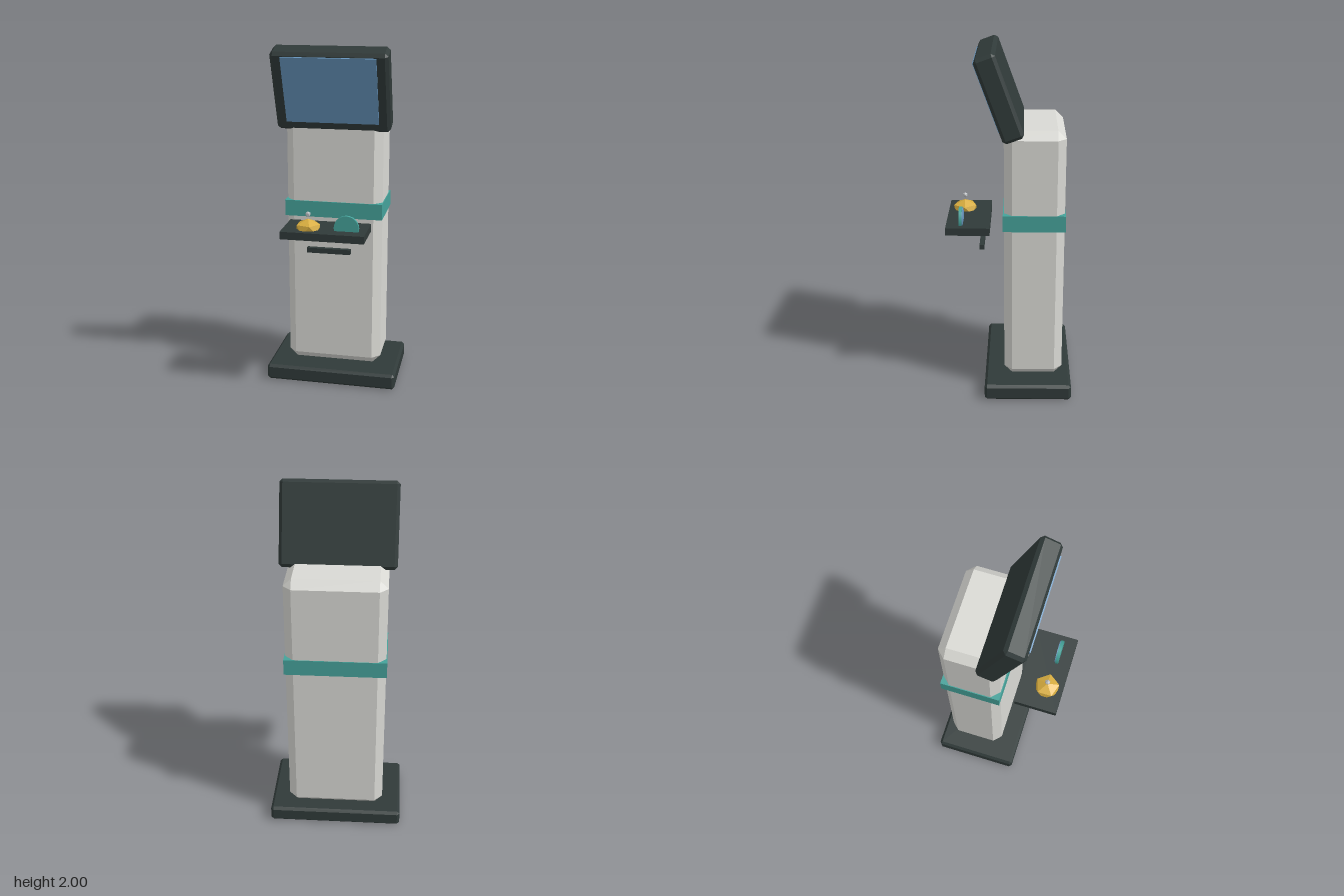
import * as THREE from 'three';
import { ConvexGeometry } from 'three/addons/geometries/ConvexGeometry.js';

const mat = (name, color) => {
  const m = new THREE.MeshStandardMaterial({ color });
  m.name = name;
  return m;
};

// Box with every edge cut by a single flat chamfer
function chamferBox(w, h, d, c) {
  const pts = [];
  for (const x of [-1, 1]) for (const y of [-1, 1]) for (const z of [-1, 1])
    for (let a = 0; a < 3; a++)
      pts.push(new THREE.Vector3(
        x * (w / 2 - (a === 0 ? 0 : c)),
        y * (h / 2 - (a === 1 ? 0 : c)),
        z * (d / 2 - (a === 2 ? 0 : c))));
  return new ConvexGeometry(pts);
}

// Twenty-sided gem standing on a point: two twisted rings of five and two tips
function gem(ring, halfHeight) {
  const pts = [new THREE.Vector3(0, halfHeight, 0), new THREE.Vector3(0, -halfHeight, 0)];
  for (let i = 0; i < 10; i++) {
    const a = i * Math.PI / 5;
    const y = halfHeight * 0.447 * (i % 2 ? -1 : 1);
    pts.push(new THREE.Vector3(Math.cos(a) * ring, y, Math.sin(a) * ring));
  }
  return new ConvexGeometry(pts);
}

export function createModel() {
  const dark = mat('charcoal', 0x303a39);
  const grey = mat('light grey', 0xd9d9d4);
  const teal = mat('teal', 0x45a29a);
  const blue = mat('screen blue', 0x6795bd);
  const gold = mat('gold', 0xd9ae40);
  const silver = mat('silver', 0xb8bbbe);

  const model = new THREE.Group();
  model.name = 'kiosk';
  const add = (name, geo, material, x, y, z, parent = model) => {
    const m = new THREE.Mesh(geo, material);
    m.name = name;
    m.position.set(x, y, z);
    parent.add(m);
    return m;
  };

  // Stand
  add('base', chamferBox(0.776, 0.095, 0.502, 0.015), dark, 0, 0.0475, -0.109);
  add('column', chamferBox(0.56, 1.48, 0.338, 0.046), grey, 0, 0.84, -0.139);
  add('band', new THREE.BoxGeometry(0.57, 0.093, 0.348), teal, 0, 1.062, -0.138);

  // Tilted monitor
  const monitor = new THREE.Group();
  monitor.name = 'monitor';
  monitor.position.set(0, 1.763, 0.0535);
  monitor.rotation.x = 0.35;
  model.add(monitor);
  add('monitorCase', chamferBox(0.65, 0.475, 0.122, 0.018), dark, 0, 0, 0, monitor);
  add('screen', new THREE.BoxGeometry(0.526, 0.394, 0.009), blue, 0, 0.019, 0.0645, monitor);

  // Shelf and the small rail below it
  add('shelf', new THREE.BoxGeometry(0.47, 0.043, 0.248), dark, 0, 0.994, 0.235);
  add('rail', new THREE.BoxGeometry(0.25, 0.029, 0.027), dark, 0, 0.856, 0.16);

  // Gem with a small knob above its tip
  add('gem', gem(0.069, 0.0525), gold, -0.095, 1.019, 0.265);
  add('gemKnob', gem(0.0145, 0.016), silver, -0.095, 1.098, 0.265);

  // Upright disc with a blue back
  const disc = (r, t) => new THREE.CylinderGeometry(r, r, t, 24).rotateX(Math.PI / 2);
  add('disc', disc(0.07, 0.018), teal, 0.124, 1.033, 0.278);
  add('discBack', disc(0.064, 0.006), blue, 0.124, 1.033, 0.267);

  return model;
}
